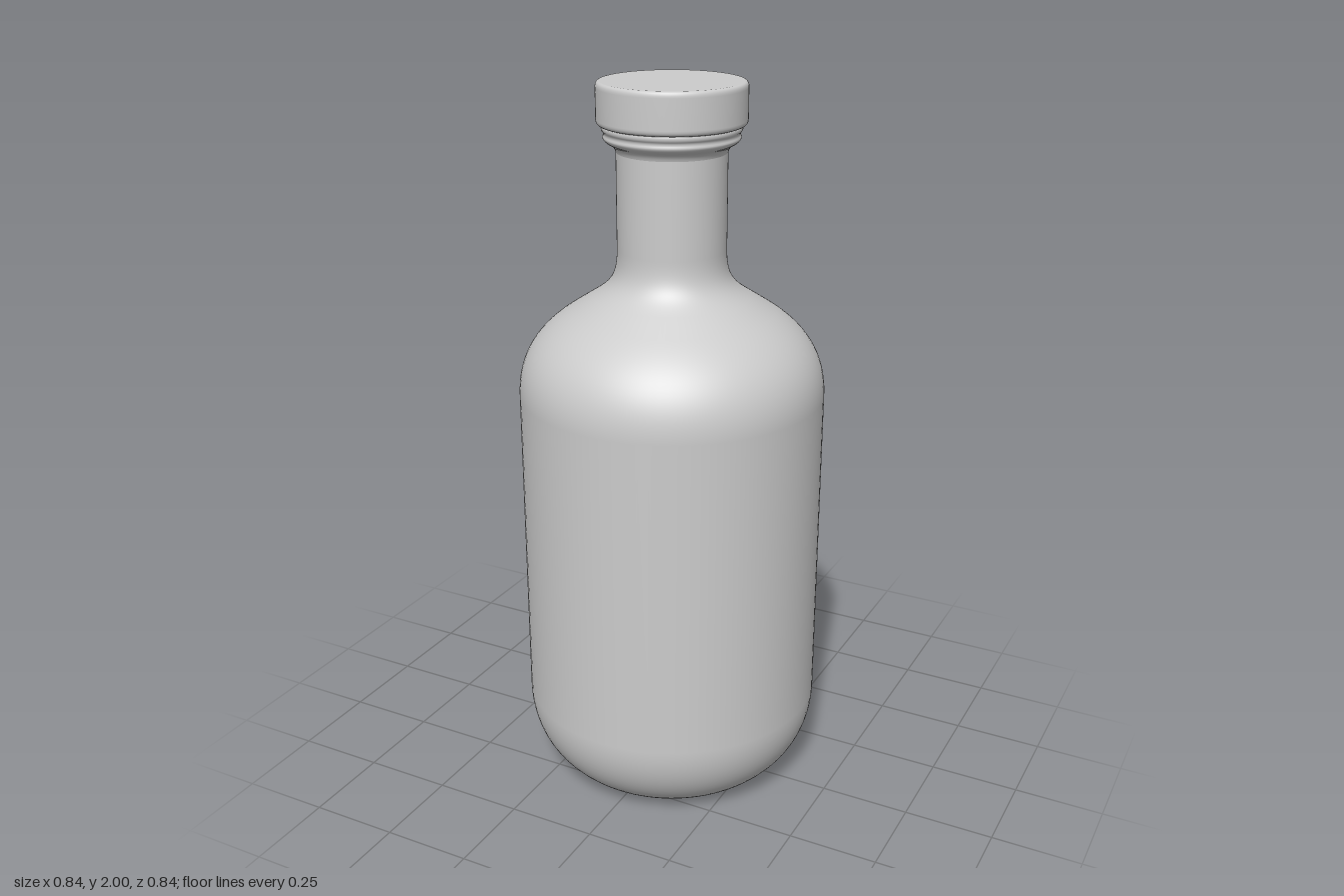
import * as THREE from 'three';

const material = new THREE.MeshStandardMaterial({ color: 0xcccccc });

// Revolves a profile path that runs from bottom to top
function turned(name, path, divisions = 12) {
  const mesh = new THREE.Mesh(new THREE.LatheGeometry(path.getPoints(divisions), 96), material);
  mesh.name = name;
  return mesh;
}

export function createModel() {
  const bottle = new THREE.Group();
  bottle.name = 'bottle';

  // Hollow dome pushed up into the base
  const punt = new THREE.Path()
    .moveTo(0, 0.11)
    .bezierCurveTo(0.11, 0.11, 0.2, 0.08, 0.25, 0.004);

  // Narrow ring the bottle stands on
  const foot = new THREE.Path()
    .moveTo(0.25, 0.004)
    .quadraticCurveTo(0.26, 0, 0.275, 0.002);

  // Rounded base, straight wall, shoulder and neck
  const body = new THREE.Path()
    .moveTo(0.275, 0.002)
    .bezierCurveTo(0.36, 0.045, 0.42, 0.13, 0.42, 0.25)
    .lineTo(0.42, 1.16)
    .bezierCurveTo(0.42, 1.27, 0.365, 1.335, 0.28, 1.39)
    .lineTo(0.215, 1.432)
    .bezierCurveTo(0.165, 1.465, 0.147, 1.49, 0.147, 1.56)
    .lineTo(0.147, 1.82);

  // Flared lip at the mouth
  const lip = new THREE.Path()
    .moveTo(0.146, 1.815)
    .quadraticCurveTo(0.15, 1.834, 0.163, 1.84)
    .quadraticCurveTo(0.18, 1.848, 0.181, 1.858)
    .quadraticCurveTo(0.175, 1.868, 0.183, 1.875)
    .quadraticCurveTo(0.188, 1.886, 0.178, 1.893);

  // Stopper with a softened rim
  const stopperSide = new THREE.Path()
    .moveTo(0.1, 1.888)
    .lineTo(0.184, 1.888)
    .quadraticCurveTo(0.198, 1.889, 0.198, 1.904)
    .lineTo(0.198, 1.984)
    .quadraticCurveTo(0.198, 1.999, 0.188, 2);
  const stopperTop = new THREE.Path().moveTo(0.188, 2).lineTo(0, 2);

  bottle.add(
    turned('punt', punt),
    turned('foot', foot),
    turned('body', body, 16),
    turned('lip', lip, 6),
    turned('stopper', stopperSide, 6),
    turned('stopperTop', stopperTop)
  );
  return bottle;
}
